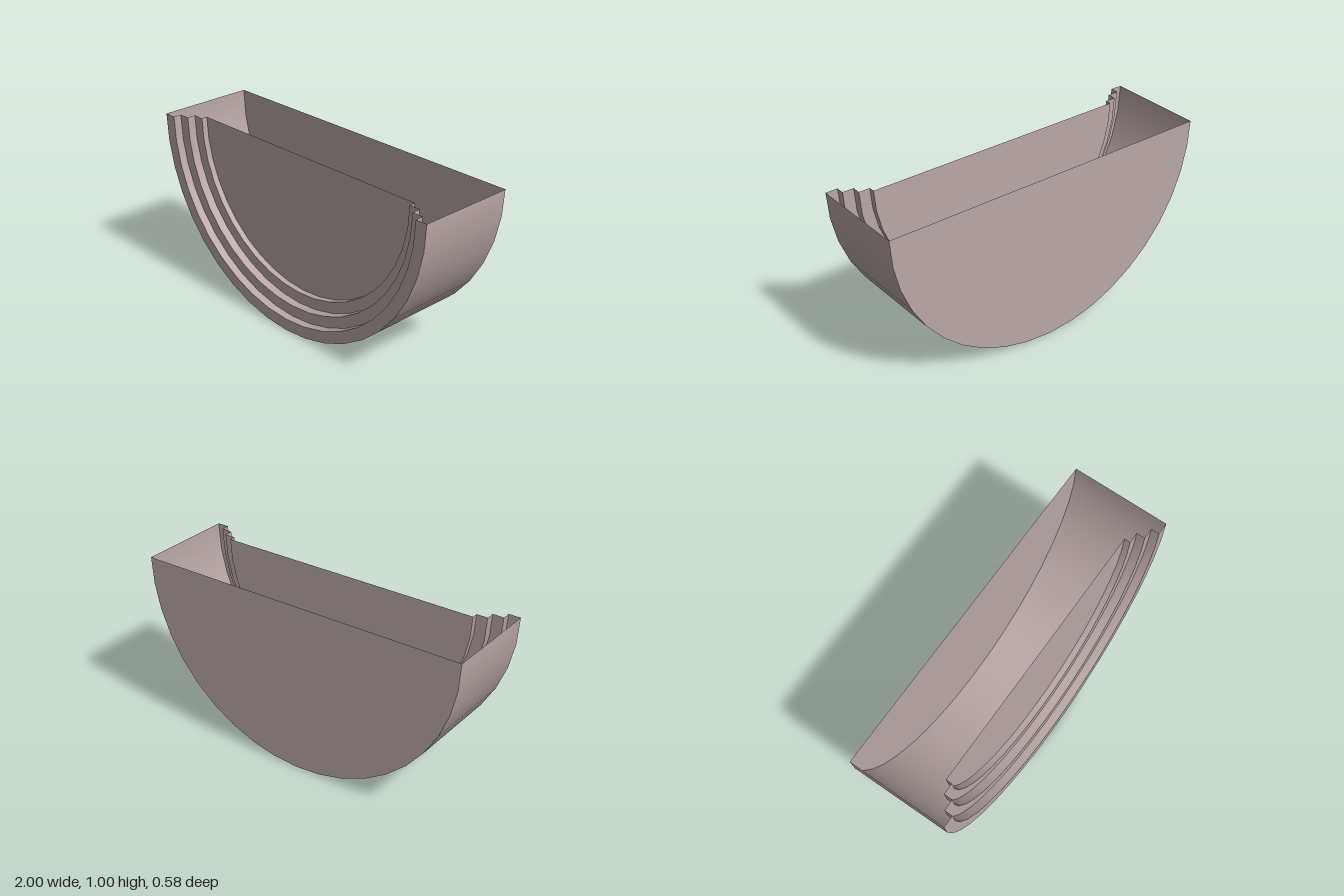
import * as THREE from 'three';

const SEGMENTS = 20;
const BACK = -0.288;
// Stepped front: radius and z of each level, from the rim inwards
const LEVELS = [
  { r: 1.0, z: 0.288 },
  { r: 0.93, z: 0.24 },
  { r: 0.865, z: 0.19 },
  { r: 0.8, z: 0.155 },
];

export function createModel() {
  const model = new THREE.Group();
  model.name = 'halfRoundPlanter';

  const stone = new THREE.MeshStandardMaterial({ color: 0xb8a8a6, side: THREE.DoubleSide });
  stone.name = 'dustyPinkStone';

  const add = (name, geometry, z) => {
    const mesh = new THREE.Mesh(geometry, stone);
    mesh.name = name;
    mesh.position.set(0, 1, z);
    model.add(mesh);
  };

  // Lower half of an open cylinder lying along z
  const halfWall = (r, depth) =>
    new THREE.CylinderGeometry(r, r, depth, SEGMENTS, 1, true, -Math.PI / 2, Math.PI).rotateX(Math.PI / 2);

  // Flat lower half disc facing +z
  const halfDisc = (r) => new THREE.CircleGeometry(r, SEGMENTS, Math.PI, Math.PI);

  // Curved outer shell and back plate; the top stays open
  add('outerShell', halfWall(1, LEVELS[0].z - BACK), (LEVELS[0].z + BACK) / 2);
  add('backPlate', halfDisc(1).rotateY(Math.PI), BACK);

  // Front rings, each stepping back to the next level
  for (let i = 0; i < LEVELS.length - 1; i++) {
    const a = LEVELS[i];
    const b = LEVELS[i + 1];
    add(`frontRing${i + 1}`, new THREE.RingGeometry(b.r, a.r, SEGMENTS, 1, Math.PI, Math.PI), a.z);
    // Flip the wall so that it faces the axis
    const wall = halfWall(b.r, a.z - b.z);
    const index = wall.index.array;
    for (let k = 0; k < index.length; k += 3) [index[k], index[k + 1]] = [index[k + 1], index[k]];
    wall.computeVertexNormals();
    add(`frontStep${i + 1}`, wall, (a.z + b.z) / 2);
  }

  // Recessed front plate
  const inner = LEVELS[LEVELS.length - 1];
  add('frontPlate', halfDisc(inner.r), inner.z);

  return model;
}
